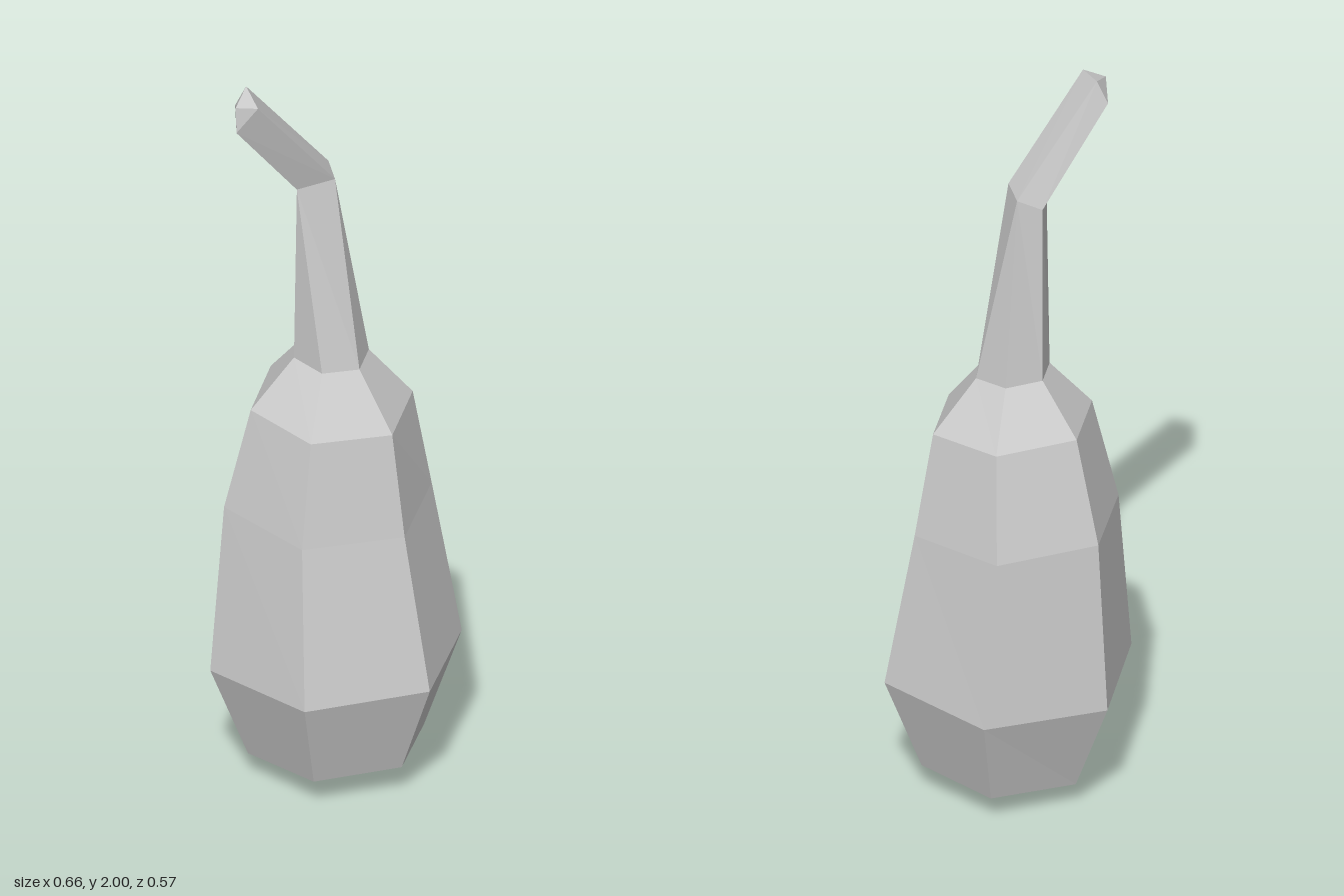
import * as THREE from 'three';

// Six-sided ring: left and right points at z = 0, front and back pairs at +-z.
// Pair heights follow the tilt between the left and right points.
function hexRing([xl, yl, xr, yr, pl, pr, z]) {
  const at = (x, pz) => new THREE.Vector3(x, yl + (yr - yl) * (x - xl) / (xr - xl), pz);
  return [at(xl, 0), at(pl, z), at(pr, z), at(xr, 0), at(pr, -z), at(pl, -z)];
}

// Four-sided ring laid onto six slots (front and back corners doubled).
function quadRing(left, front, right, back) {
  return [left, front, front, right, back, back].map(p => new THREE.Vector3(...p));
}

// Skins rings from bottom to top, with optional points closing the ends.
function loft(name, rings, bottom, top) {
  const pos = [];
  const tri = (a, b, c) => {
    if (a.equals(b) || b.equals(c) || c.equals(a)) return;
    for (const p of [a, b, c]) pos.push(p.x, p.y, p.z);
  };
  rings.forEach((ring, r) => {
    const next = rings[r + 1];
    for (let i = 0; i < 6; i++) {
      const j = (i + 1) % 6;
      if (r === 0 && bottom) tri(ring[i], bottom, ring[j]);
      if (next) {
        tri(ring[i], ring[j], next[i]);
        tri(ring[j], next[j], next[i]);
      } else if (top) tri(ring[i], ring[j], top);
    }
  });
  const geo = new THREE.BufferGeometry();
  geo.setAttribute('position', new THREE.Float32BufferAttribute(pos, 3));
  geo.computeVertexNormals();
  const mesh = new THREE.Mesh(geo, new THREE.MeshStandardMaterial({ color: 0xcccccc, flatShading: true }));
  mesh.name = name;
  return mesh;
}

export function createModel() {
  const group = new THREE.Group();
  group.name = 'gourd';

  // Bulbous body: left x, y, right x, y, pair left x, pair right x, half depth
  const body = [
    [-0.225, 0.065, 0.23, 0.085, -0.115, 0.115, 0.2],
    [-0.33, 0.32, 0.328, 0.345, -0.165, 0.165, 0.285],
    [-0.3, 0.79, 0.24, 0.76, -0.165, 0.108, 0.235],
    [-0.228, 1.07, 0.197, 1.04, -0.12, 0.09, 0.185],
    [-0.115, 1.2, 0.082, 1.185, -0.065, 0.033, 0.085],
  ].map(hexRing);
  group.add(loft('body', body, new THREE.Vector3(0.01, 0, 0), null));

  // Stem: narrows to four sides, then bends forward to a blunt tip
  const bend = quadRing([-0.106, 1.69, 0.01], [-0.055, 1.69, 0.085], [0.013, 1.72, 0.017], [-0.062, 1.72, -0.037]);
  const end = quadRing([-0.163, 1.94, 0.197], [-0.105, 1.905, 0.252], [-0.055, 1.985, 0.226], [-0.137, 2, 0.184]);
  group.add(loft('stem', [body[4], bend, end], null, new THREE.Vector3(-0.11, 1.975, 0.25)));

  return group;
}
